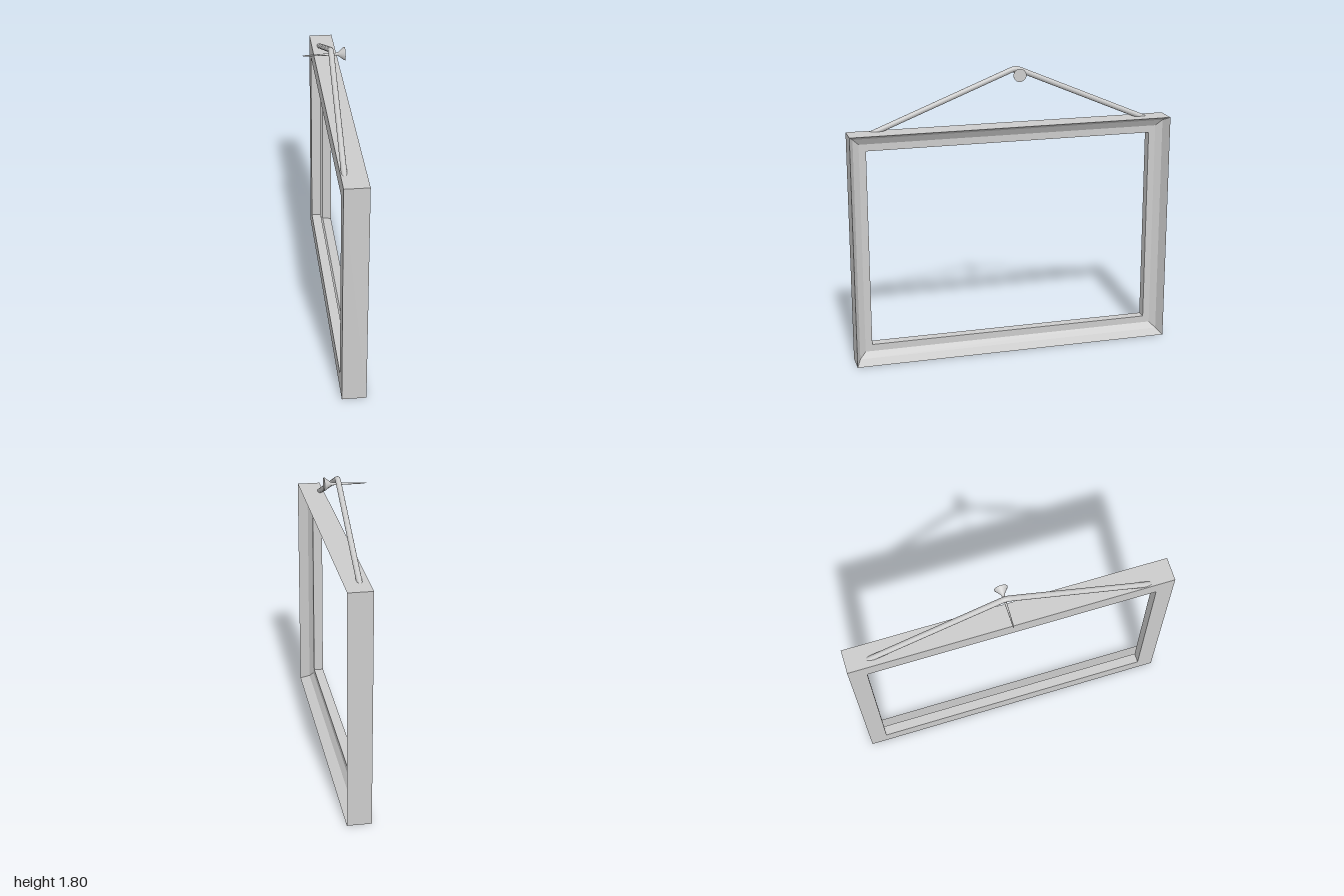
import * as THREE from 'three';

const material = new THREE.MeshStandardMaterial({ color: 0xcccccc });
const flatMaterial = new THREE.MeshStandardMaterial({ color: 0xcccccc, flatShading: true });

function addMesh(parent, name, geometry, mat) {
  const mesh = new THREE.Mesh(geometry, mat);
  mesh.name = name;
  parent.add(mesh);
  return mesh;
}

// Sweeps a moulding profile of [x, inset] points round a rectangle with mitred corners.
function mouldingGeometry(profile, halfWidth, height) {
  const corners = [[1, 0], [-1, 0], [-1, 1], [1, 1]];
  const point = (corner, [x, inset]) => {
    const [sz, top] = corners[corner % 4];
    return [x, top ? height - inset : inset, sz * (halfWidth - inset)];
  };
  const positions = [];
  for (let c = 0; c < 4; c++) {
    profile.forEach((p, i) => {
      const q = profile[(i + 1) % profile.length];
      const a = point(c, p), b = point(c, q);
      const d = point(c + 1, p), e = point(c + 1, q);
      positions.push(...a, ...d, ...e, ...a, ...e, ...b);
    });
  }
  const geometry = new THREE.BufferGeometry();
  geometry.setAttribute('position', new THREE.Float32BufferAttribute(positions, 3));
  geometry.computeVertexNormals();
  return geometry;
}

export function createModel() {
  const model = new THREE.Group();
  model.name = 'hangingFrame';

  // Frame: flat back, bevelled inner front and a narrow ledge round the opening
  const profile = [
    [-0.01, 0], [0.137, 0], [0.075, 0.027],
    [0.052, 0.065], [0.052, 0.108], [-0.01, 0.108],
  ];
  addMesh(model, 'frame', mouldingGeometry(profile, 1, 1.45), flatMaterial);

  // Cord: two straight runs with a tight bend over the nail, ends sunk into the frame
  const left = new THREE.Vector3(0.012, 1.425, 0.88);
  const right = new THREE.Vector3(0.043, 1.425, -0.89);
  const peak = new THREE.Vector3(0.031, 1.79, -0.032);
  const bendIn = peak.clone().lerp(left, 0.03);
  const bendOut = peak.clone().lerp(right, 0.03);
  const path = new THREE.CurvePath();
  path.add(new THREE.LineCurve3(left, bendIn));
  path.add(new THREE.QuadraticBezierCurve3(bendIn, peak, bendOut));
  path.add(new THREE.LineCurve3(bendOut, right));
  addMesh(model, 'cord', new THREE.TubeGeometry(path, 120, 0.017, 12), material);

  // Nail: tapered shaft flaring into a flat countersunk head
  const nail = new THREE.Group();
  nail.name = 'nail';
  const shaft = [[0, -0.145], [0.004, -0.12], [0.007, 0.02], [0.008, 0.06], [0.012, 0.075], [0.038, 0.107], [0.04, 0.115]];
  const toPoints = (list) => list.map(([r, y]) => new THREE.Vector2(r, y));
  addMesh(nail, 'nailShaft', new THREE.LatheGeometry(toPoints(shaft), 24), material);
  const face = addMesh(nail, 'nailHead', new THREE.CircleGeometry(0.04, 24), material);
  face.rotation.x = -Math.PI / 2;
  face.position.y = 0.115;
  nail.rotation.z = -Math.PI / 2 + 0.015;
  nail.position.set(0, 1.759, -0.036);
  model.add(nail);

  return model;
}
